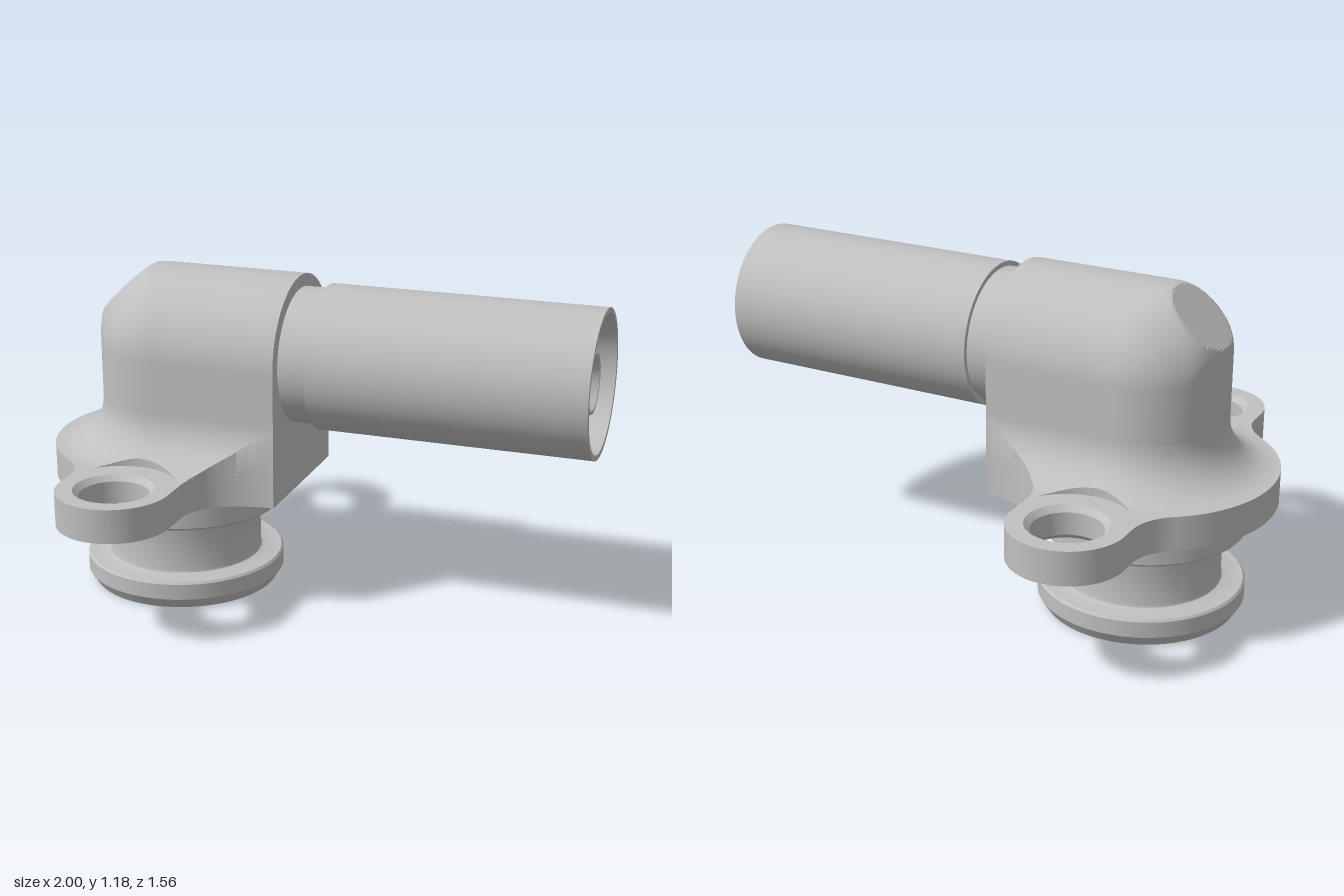
import * as THREE from 'three';
import { toCreasedNormals } from 'three/addons/utils/BufferGeometryUtils.js';

const AX = -0.535;              // x of the vertical axis
const AY = 0.895;               // height of the horizontal axis
const R = 0.285;                // body radius
const END = -0.07;              // x of the body's end face
const BASE = 0.415, TOP = 0.535; // flange bottom and top
const EAR = 0.578;              // z of the bolt holes

const grey = new THREE.MeshStandardMaterial({ color: 0xc0c0c0, side: THREE.DoubleSide });
grey.name = 'grey metal';

export function createModel() {
  const model = new THREE.Group();
  const add = (name, geometry, crease = 0.5) => {
    const mesh = new THREE.Mesh(toCreasedNormals(geometry, crease), grey);
    mesh.name = name;
    model.add(mesh);
    return mesh;
  };
  const lathe = (pts, segments = 96) =>
    new THREE.LatheGeometry(pts.map(([r, y]) => new THREE.Vector2(r, y)), segments);

  // Surface from equally long rows of [x, y, z] points
  const loft = (rows) => {
    const n = rows[0].length, index = [];
    for (let i = 0; i < rows.length - 1; i++) {
      for (let j = 0; j < n - 1; j++) {
        const a = i * n + j, b = a + n;
        index.push(a, b, b + 1, a, b + 1, a + 1);
      }
    }
    const g = new THREE.BufferGeometry();
    g.setAttribute('position', new THREE.Float32BufferAttribute(rows.flat(2), 3));
    g.setIndex(index);
    return g;
  };

  // Grooved plug with its bore
  add('plug', lathe([
    [0, 0.9], [0.19, 0.9], [0.19, 0.01], [0.2, 0], [0.34, 0], [0.365, 0.04], [0.365, 0.098],
    [0.358, 0.106], [0.292, 0.106], [0.283, 0.11], [0.28, 0.12], [0.28, 0.29], [0.283, 0.301],
    [0.292, 0.305], [0.358, 0.305], [0.365, 0.313], [0.365, 0.392], [0.358, 0.402],
    [0.35, 0.404], [0.35, BASE],
  ])).position.x = AX;

  // Flange outline, drawn in x and z
  const a = Math.atan2(0.366, -0.285);
  const outline = new THREE.Shape();
  outline.moveTo(END, -0.287);
  outline.lineTo(END, 0.287);
  outline.bezierCurveTo(-0.2, 0.29, -0.335, 0.36, -0.335, 0.47);
  outline.lineTo(-0.335, EAR);
  outline.absarc(AX, EAR, 0.2, 0, Math.PI, false);
  outline.lineTo(-0.735, 0.52);
  outline.quadraticCurveTo(-0.735, 0.432, -0.82, 0.366);
  outline.absarc(AX, 0, 0.465, a, 2 * Math.PI - a, false);
  outline.quadraticCurveTo(-0.735, -0.432, -0.735, -0.52);
  outline.lineTo(-0.735, -EAR);
  outline.absarc(AX, -EAR, 0.2, Math.PI, 2 * Math.PI, false);
  outline.lineTo(-0.335, -0.47);
  outline.bezierCurveTo(-0.335, -0.36, -0.2, -0.29, END, -0.287);
  for (const [z, r] of [[EAR, 0.14], [-EAR, 0.14], [0, 0.19]]) {
    outline.holes.push(new THREE.Path().absarc(AX, z, r, 0, 2 * Math.PI, true));
  }
  const flange = new THREE.ExtrudeGeometry(outline, {
    depth: TOP - BASE, bevelEnabled: false, curveSegments: 32,
  });
  flange.rotateX(-Math.PI / 2).translate(0, BASE, 0);
  add('flange', flange);

  // Chamfered walls of the bolt holes
  for (const s of [1, -1]) {
    add('boltHole', lathe([[0.14, TOP], [0.12, TOP - 0.02], [0.12, BASE + 0.02], [0.14, BASE]], 64))
      .position.set(AX, 0, s * EAR);
  }

  // Elbow body: mitred tubes with a rounded, flattened heel
  const rows = [];
  for (let i = 0; i <= 64; i++) {
    const t = (i / 64 - 0.5) * Math.PI;
    const z = R * Math.sin(t), h = R * Math.cos(t);
    const rho = Math.min(0.217, h);
    const row = [[AX - h, TOP - 0.01, z]];
    for (let j = 0; j <= 32; j++) {
      const p = (j / 32) * Math.PI / 2;
      let u = h - rho + rho * Math.cos(p), v = h - rho + rho * Math.sin(p);
      const over = Math.max(0, u + v - 0.38) / 2;
      u -= over;
      v -= over;
      row.push([AX - u, AY + v, z]);
    }
    row.push([END, AY + h, z]);
    rows.push(row);
  }
  add('elbowBody', loft(rows), 0.35);

  // Flat sides below the horizontal tube
  for (const s of [1, -1]) {
    const side = new THREE.PlaneGeometry(END - AX, AY - BASE);
    if (s < 0) side.rotateY(Math.PI);
    side.translate((END + AX) / 2, (AY + BASE) / 2, s * R);
    add('bodySide', side);
  }

  // Arched end face
  const arch = new THREE.Shape();
  arch.moveTo(-R, BASE);
  arch.lineTo(R, BASE);
  arch.lineTo(R, AY);
  arch.absarc(0, AY, R, 0, Math.PI, false);
  add('endFace', new THREE.ShapeGeometry(arch, 48).rotateY(Math.PI / 2).translate(END, 0, 0));

  // Fillet between body and flange, trimmed by the outline and the bolt seats
  const poly = outline.getPoints(32);
  const inside = (x, z) => {
    let hit = false;
    for (let i = 0, j = poly.length - 1; i < poly.length; j = i++) {
      const p = poly[i], q = poly[j];
      if ((p.y > z) !== (q.y > z) && x < ((q.x - p.x) * (z - p.y)) / (q.y - p.y) + p.x) hit = !hit;
    }
    return hit;
  };
  const path = [];                // x, z and outward normal around the body
  const N = 60;
  for (let i = 0; i < N; i++) path.push([END - 0.001 + (AX - END) * i / N, R, 0, 1]);
  for (let i = 0; i <= 2 * N; i++) {
    const t = Math.PI / 2 + Math.PI * i / (2 * N);
    path.push([AX + R * Math.cos(t), R * Math.sin(t), Math.cos(t), Math.sin(t)]);
  }
  for (let i = N - 1; i >= 0; i--) path.push([END - 0.001 + (AX - END) * i / N, -R, 0, -1]);
  const F = 0.17;
  add('baseFillet', loft(path.map(([x, z, nx, nz]) => {
    let d = 0;
    while (d < F) {
      const px = x + nx * (d + 0.001), pz = z + nz * (d + 0.001);
      if (!inside(px, pz) || Math.hypot(px - AX, Math.abs(pz) - EAR) < 0.22) break;
      d += 0.001;
    }
    const end = Math.acos(Math.max(0, 1 - d / F));
    const row = [];
    for (let j = 0; j <= 12; j++) {
      const p = end * j / 12, e = F * (1 - Math.cos(p));
      row.push([x + nx * e, TOP + F * (1 - Math.sin(p)), z + nz * e]);
    }
    row.push([x + nx * d, TOP, z + nz * d]);
    return row;
  })), 0.6);

  // Neck, outer sleeve and inner nozzle, turned about the horizontal axis
  const tube = lathe([
    [0.24, END], [0.24, 0.03], [0.2575, 0.03], [0.2575, 1], [0.238, 1], [0.2, 0.62],
    [0.135, 0.5], [0.135, 0.87], [0.105, 0.97], [0.093, 0.97], [0.035, 0.85],
    [0.035, 0.4], [0, 0.4],
  ]);
  add('tube', tube.rotateZ(-Math.PI / 2).translate(0, AY, 0), 0.3);

  return model;
}
